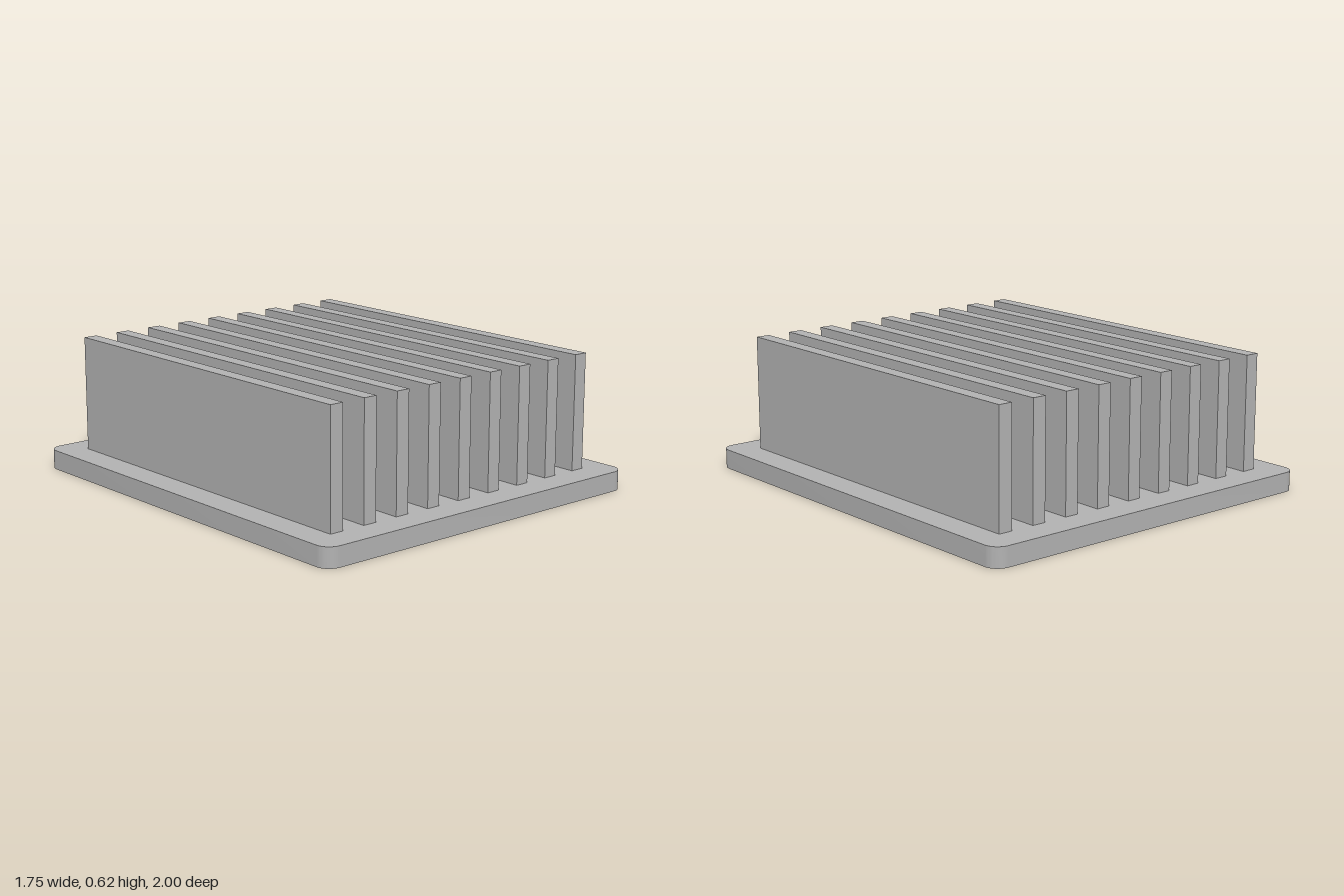
import * as THREE from 'three';
import { toCreasedNormals } from 'three/addons/utils/BufferGeometryUtils.js';

const BASE = { width: 1.754, depth: 2, height: 0.09, radius: 0.066 };
const FIN = { count: 9, width: 0.066, depth: 1.73, top: 0.62, spacing: 0.178 };

// Rectangle with rounded corners, centred on the origin
function roundedRectangle(width, depth, r) {
  const x = width / 2 - r, y = depth / 2 - r;
  const shape = new THREE.Shape();
  shape.absarc(x, y, r, 0, Math.PI / 2);
  shape.absarc(-x, y, r, Math.PI / 2, Math.PI);
  shape.absarc(-x, -y, r, Math.PI, Math.PI * 1.5);
  shape.absarc(x, -y, r, Math.PI * 1.5, Math.PI * 2);
  shape.closePath();
  return shape;
}

export function createModel() {
  const model = new THREE.Group();
  model.name = 'heatSink';
  const metal = new THREE.MeshStandardMaterial({ color: 0xb2b2b2 });
  metal.name = 'grey metal';

  // Base plate with rounded vertical corners
  const plate = new THREE.ExtrudeGeometry(
    roundedRectangle(BASE.width, BASE.depth, BASE.radius),
    { depth: BASE.height, bevelEnabled: false, curveSegments: 12 }
  );
  plate.rotateX(-Math.PI / 2);
  const base = new THREE.Mesh(toCreasedNormals(plate, Math.PI / 6), metal);
  base.name = 'basePlate';
  model.add(base);

  // Evenly spaced upright fins
  const fins = new THREE.Group();
  fins.name = 'fins';
  const finHeight = FIN.top - BASE.height;
  const finGeometry = new THREE.BoxGeometry(FIN.width, finHeight, FIN.depth);
  for (let i = 0; i < FIN.count; i++) {
    const fin = new THREE.Mesh(finGeometry, metal);
    fin.name = `fin${i + 1}`;
    fin.position.set((i - (FIN.count - 1) / 2) * FIN.spacing, BASE.height + finHeight / 2, 0);
    fins.add(fin);
  }
  model.add(fins);

  return model;
}
